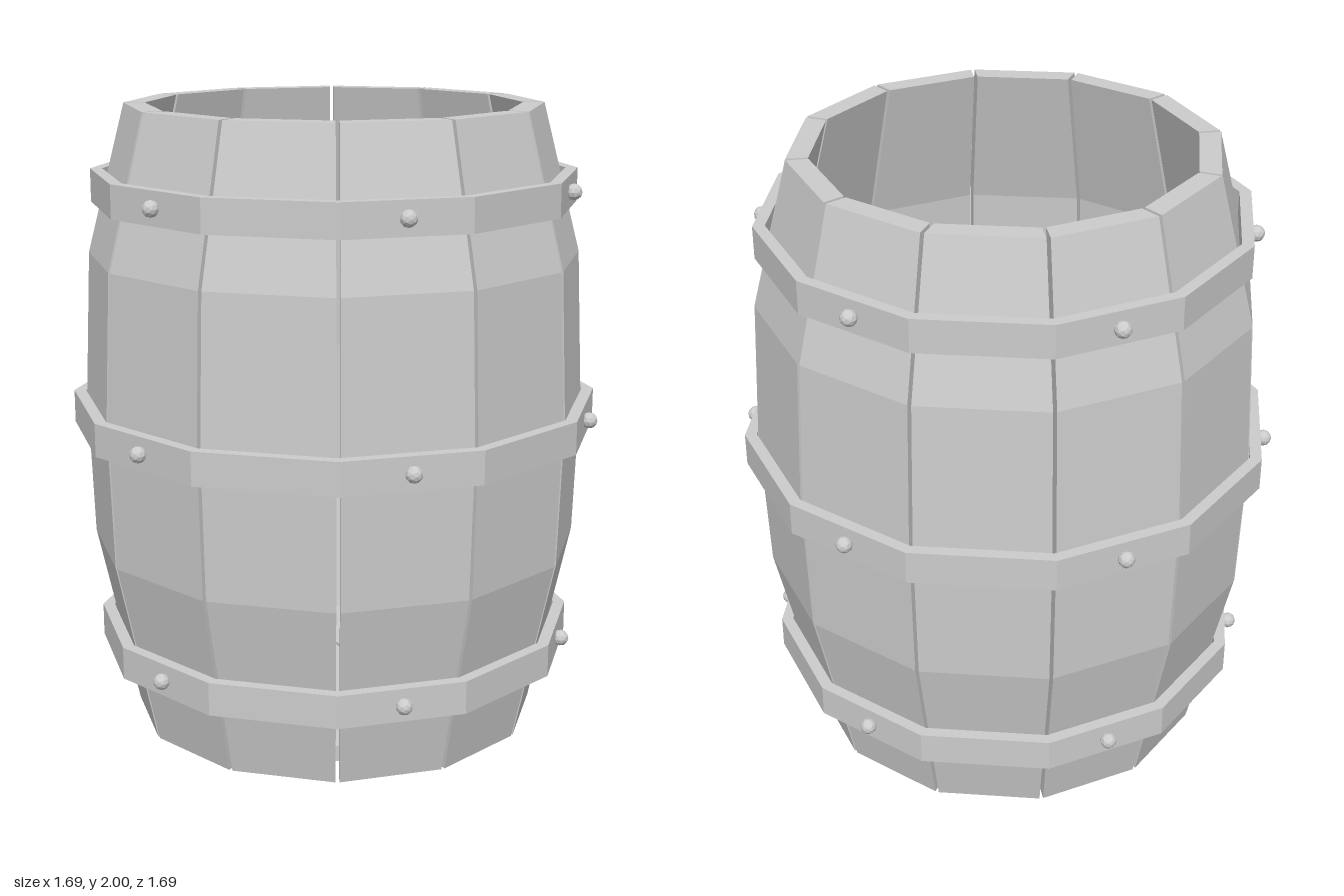
import * as THREE from 'three';

const SIDES = 12;
const STEP = (Math.PI * 2) / SIDES;
const GAP = 0.006; // half of the slit between neighbouring boards
const WALL = 0.068;

const grey = new THREE.MeshStandardMaterial({ color: 0xcccccc, flatShading: true });
grey.name = 'plain grey';

// Bulging board: four-cornered cross-sections stacked along the barrel profile
function staveGeometry() {
  const profile = [[0, 0.66], [0.6, 0.79], [1.06, 0.805], [1.53, 0.783], [2, 0.66]];
  const positions = [];
  const index = [];
  for (const [y, r] of profile) {
    const corner = (radius, side) =>
      positions.push(side * (radius * Math.sin(STEP / 2) - GAP), y, radius * Math.cos(STEP / 2));
    corner(r, -1);
    corner(r, 1);
    corner(r - WALL, 1);
    corner(r - WALL, -1);
  }
  for (let i = 0; i < profile.length - 1; i++) {
    for (let j = 0; j < 4; j++) {
      const a = i * 4 + j;
      const b = i * 4 + ((j + 1) % 4);
      index.push(a, b, b + 4, a, b + 4, a + 4);
    }
  }
  const t = (profile.length - 1) * 4;
  index.push(t, t + 1, t + 2, t, t + 2, t + 3, 2, 1, 0, 3, 2, 0);
  const indexed = new THREE.BufferGeometry();
  indexed.setAttribute('position', new THREE.Float32BufferAttribute(positions, 3));
  indexed.setIndex(index);
  const geometry = indexed.toNonIndexed();
  geometry.computeVertexNormals();
  return geometry;
}

// Twelve-sided hoop with a rectangular section
function hoopGeometry(outer, height) {
  const inner = outer - 0.038;
  const section = [[inner, 0], [outer, 0], [outer, height], [inner, height], [inner, 0]];
  return new THREE.LatheGeometry(section.map(([x, y]) => new THREE.Vector2(x, y)), SIDES);
}

// Floor board cut to the twelve-sided outline
function plankGeometry(x0, x1, radius, thickness) {
  const corners = [];
  for (let k = -3; k <= 3; k++) {
    corners.push([radius * Math.sin(k * STEP), radius * Math.cos(k * STEP)]);
  }
  const depthAt = (x) => {
    for (let i = 0; i < corners.length - 1; i++) {
      const [ax, az] = corners[i];
      const [bx, bz] = corners[i + 1];
      if (x <= bx) return az + ((bz - az) * (x - ax)) / (bx - ax);
    }
    return 0;
  };
  const xs = [x0, ...corners.map((c) => c[0]).filter((x) => x > x0 + 0.001 && x < x1 - 0.001), x1];
  const far = xs.map((x) => new THREE.Vector2(x, Math.max(depthAt(x), 0.002)));
  const near = far.map((p) => new THREE.Vector2(p.x, -p.y));
  const shape = new THREE.Shape([...near, ...far.reverse()]);
  const geometry = new THREE.ExtrudeGeometry(shape, { depth: thickness, bevelEnabled: false });
  return geometry.rotateX(-Math.PI / 2);
}

export function createModel() {
  const barrel = new THREE.Group();
  barrel.name = 'barrel';
  const add = (name, geometry, parent = barrel) => {
    const mesh = new THREE.Mesh(geometry, grey);
    mesh.name = name;
    parent.add(mesh);
    return mesh;
  };

  // Staves around the body
  const stave = staveGeometry();
  for (let k = 0; k < SIDES; k++) {
    add('stave', stave).rotation.y = (k + 0.5) * STEP;
  }

  // Hoops, each with six rivets on every second face
  const rivet = new THREE.IcosahedronGeometry(0.026, 1);
  for (const [name, y, outer] of [['lowerHoop', 0.23, 0.775], ['middleHoop', 0.97, 0.845], ['upperHoop', 1.69, 0.77]]) {
    const hoop = new THREE.Group();
    hoop.name = name;
    hoop.position.y = y;
    barrel.add(hoop);
    add('band', hoopGeometry(outer, 0.105), hoop);
    const reach = outer * Math.cos(STEP / 2) + 0.014;
    for (let k = 0; k < 6; k++) {
      const angle = -STEP / 2 + k * 2 * STEP;
      const head = add('rivet', rivet, hoop);
      head.position.set(reach * Math.sin(angle), 0.054, reach * Math.cos(angle));
      head.rotation.y = angle;
    }
  }

  // Floor planks, slightly above the bottom rim
  const radius = 0.605;
  const cuts = [-radius, -0.373, -0.124, 0.124, 0.373, radius];
  for (let i = 0; i < cuts.length - 1; i++) {
    const x0 = cuts[i] + (i > 0 ? GAP : 0);
    const x1 = cuts[i + 1] - (i < cuts.length - 2 ? GAP : 0);
    add('floorPlank', plankGeometry(x0, x1, radius, 0.05)).position.y = 0.045;
  }
  return barrel;
}
